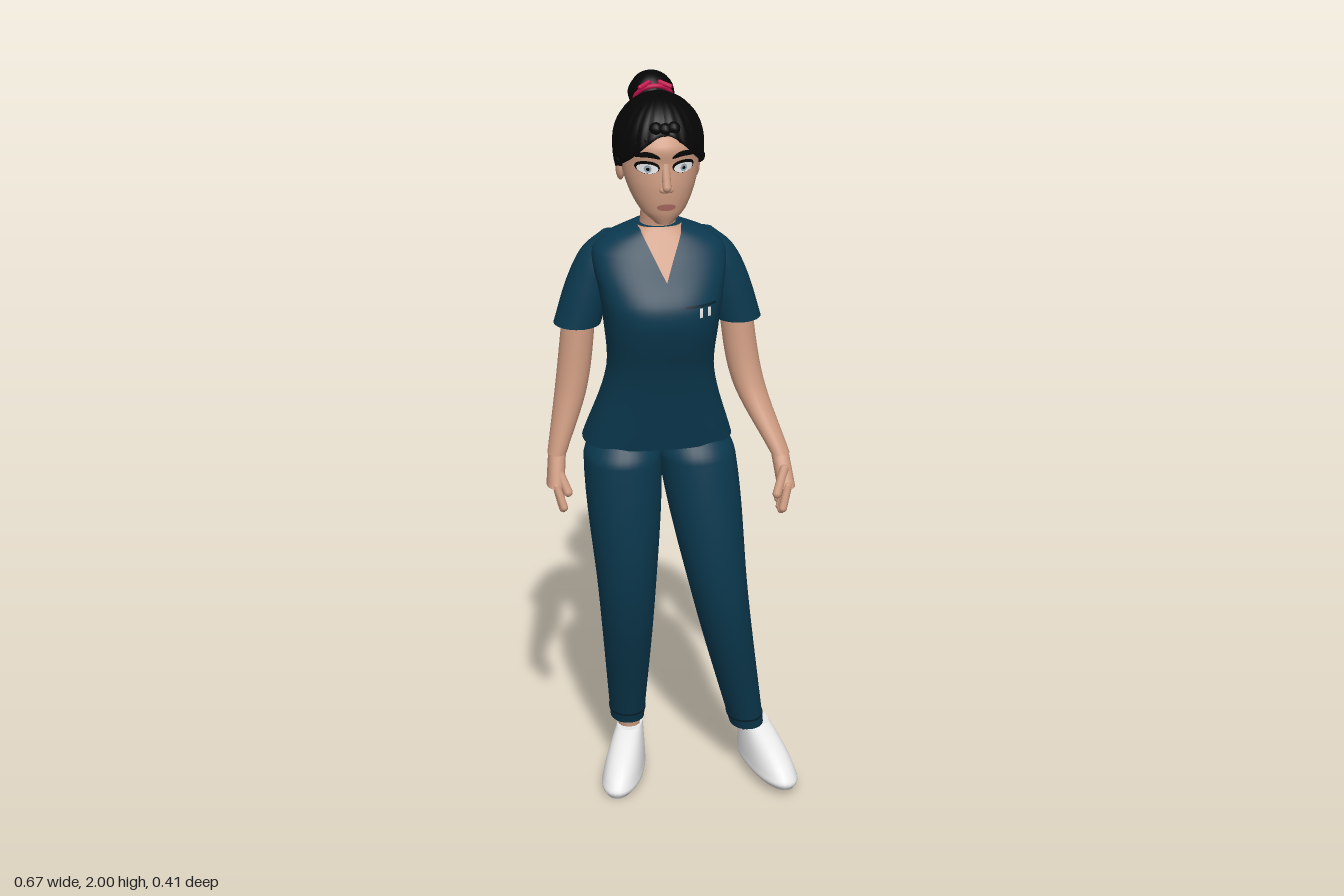
import * as THREE from 'three';

const mat = (name, color, side = THREE.FrontSide) => {
  const m = new THREE.MeshStandardMaterial({ color, side });
  m.name = name;
  return m;
};
const M = {
  scrubs: mat('teal scrubs', 0x0b394f),
  trim: mat('dark teal trim', 0x07222f),
  skin: mat('skin', 0xcc9a80),
  hair: mat('black hair', 0x060505, THREE.DoubleSide),
  band: mat('pink hair band', 0xc4124e),
  white: mat('white', 0xe6e6e6),
  lips: mat('lips', 0xa8695e),
  iris: mat('iris', 0x93a6b2),
};
const CX = -0.033; // midline of the head and chest
const { sin, cos, abs, sqrt, pow, sign, min, max, PI } = Math;

// Smooth interpolation of sections [y, x, z, rx, rz] at height y
function at(secs, y) {
  const last = secs.length - 1;
  let i = 0;
  while (i < last - 1 && y > secs[i + 1][0]) i++;
  const slope = (j, k) => {
    const a = secs[max(j - 1, 0)], b = secs[min(j + 1, last)];
    return (b[k] - a[k]) / (b[0] - a[0]);
  };
  const a = secs[i], b = secs[i + 1], h = b[0] - a[0];
  const t = min(1, max(0, (y - a[0]) / h)), e = t * t * (3 - 2 * t), r = t * (1 - t) * h;
  return a.map((v, k) => k === 0 ? y : v + (b[k] - v) * e + r * ((1 - t) * slope(i, k) - t * slope(i + 1, k)));
}

function surface(pos, idx) {
  const g = new THREE.BufferGeometry();
  g.setAttribute('position', new THREE.Float32BufferAttribute(pos, 3));
  g.setIndex(idx);
  g.computeVertexNormals();
  return g;
}

// Closed body through superelliptic rings stacked upwards
function loft(secs, n = 2, sides = 32, steps = 8) {
  const pos = [], idx = [], ys = [secs[0][0]];
  for (let i = 1; i < secs.length; i++)
    for (let k = 1; k <= steps; k++) ys.push(secs[i - 1][0] + (secs[i][0] - secs[i - 1][0]) * k / steps);
  const ring = (y) => {
    const [, x, z, rx, rz] = at(secs, y);
    for (let j = 0; j < sides; j++) {
      const s = sin(j / sides * 2 * PI), c = cos(j / sides * 2 * PI);
      pos.push(x + rx * sign(s) * pow(abs(s), 2 / n), y, z + rz * sign(c) * pow(abs(c), 2 / n));
    }
    return [x, y, z];
  };
  ys.forEach(ring);
  for (let i = 0; i < ys.length - 1; i++) for (let j = 0; j < sides; j++) {
    const a = i * sides + j, b = i * sides + (j + 1) % sides;
    idx.push(a, b, b + sides, a, b + sides, a + sides);
  }
  for (const top of [false, true]) {
    const start = pos.length / 3, mid = start + sides;
    pos.push(...ring(top ? ys[ys.length - 1] : ys[0]));
    for (let j = 0; j < sides; j++) {
      const a = start + j, b = start + (j + 1) % sides;
      idx.push(mid, top ? a : b, top ? b : a);
    }
  }
  return surface(pos, idx);
}

// Thin sheet on the front of a lofted body, half-width w, between lo(u) and hi(u), u in -1..1
function patch(secs, n, x, w, lo, hi, layer) {
  const N = 16, pos = [], idx = [];
  for (let i = 0; i <= N; i++) for (let j = 0; j <= N; j++) {
    const u = j / N * 2 - 1, px = x + w * u, y = lo(u) + (hi(u) - lo(u)) * i / N;
    const [, cx, cz, rx, rz] = at(secs, y);
    pos.push(px, y, cz + rz * pow(1 - pow(min(1, abs((px - cx) / rx)), n), 1 / n) + layer * 0.002);
    if (i < N && j < N) {
      const a = i * (N + 1) + j, b = a + N + 1;
      idx.push(a, a + 1, b + 1, a, b + 1, b);
    }
  }
  return surface(pos, idx);
}

// Sections on the midline: [y, z, half width, half depth]
const onMidline = (rows) => rows.map(([y, ...rest]) => [y, CX, ...rest]);
const TORSO_N = 2.5;
const TORSO = onMidline([
  [1.045, -0.035, 0.196, 0.122], [1.25, 0.023, 0.139, 0.105], [1.4, 0.038, 0.147, 0.137], [1.47, 0.034, 0.157, 0.135],
  [1.57, 0, 0.17, 0.094], [1.608, -0.008, 0.132, 0.075], [1.638, -0.01, 0.06, 0.055],
]);
const HEAD = onMidline([
  [1.667, 0.088, 0.022, 0.026], [1.7, 0.064, 0.058, 0.061], [1.76, 0.037, 0.087, 0.093],
  [1.82, 0.019, 0.099, 0.105], [1.87, 0.008, 0.098, 0.114], [1.95, 0, 0.045, 0.05],
]);
// Limb through joints [x, y, z], its radii given by rules over the height
const limb = (joints, rx, rz) => joints.map(([x, y, z]) => [y, x, z, rx(y), rz(y)]);

// The two sides differ because of the relaxed stance; joints run upwards
const SIDES = [
  {
    name: 'left', s: 1, sleeveZ: -0.03, shoe: [0.268, 0.02, -0.003], turn: 0.29,
    leg: [[0.217, 0.158, -0.04], [0.125, 0.6, 0.038], [0.068, 1, -0.008], [0.058, 1.08, -0.03]],
    arm: [[0.268, 1.03, 0.11], [0.2, 1.2, 0.008], [0.168, 1.42, -0.03]],
    knuckle: [0.277, 0.955, 0.15],
  },
  {
    name: 'right', s: -1, sleeveZ: -0.043, shoe: [-0.12, 0, -0.065], turn: -0.34,
    leg: [[-0.103, 0.158, -0.13], [-0.12, 0.6, 0], [-0.128, 1, -0.008], [-0.122, 1.08, -0.03]],
    arm: [[-0.304, 1.03, 0.02], [-0.258, 1.2, -0.025], [-0.23, 1.42, -0.045]],
    knuckle: [-0.312, 0.95, 0.042],
  },
];

// Slip-on shoe: the instep falls towards the toe and the toe is wider
function shoeShape() {
  const secs = Array.from({ length: 9 }, (_, i) => {
    const t = i / 8, sole = i ? 0 : 0.012;
    const toe = 0.147 - 0.17 * pow(t, 1.8), heel = -0.147 + 0.014 * t * t;
    return [0.127 * t, 0, (toe + heel) / 2, 0.053 - 0.016 * t * t - sole, (toe - heel) / 2 - sole];
  });
  const g = loft(secs, 2.2, 32, 3), p = g.attributes.position;
  for (let i = 0; i < p.count; i++) p.setX(i, p.getX(i) * (1 + 1.1 * p.getZ(i)));
  g.computeVertexNormals();
  return g;
}

// Swept-up hair: a ridged shell below which the hairline falls from forehead to nape
const hairline = (a) => 1.79 + 0.052 * cos(a) + 0.055 * pow(max(0, cos(a)), 5);
function hairShell() {
  const cols = 96, rows = 20, pos = [], idx = [];
  for (let i = 0; i <= rows; i++) for (let j = 0; j <= cols; j++) {
    const a = j / cols * 2 * PI;
    const t = min(1, i / (rows - 1)), y = 1.975 - (1.975 - hairline(a)) * t * t;
    const d = (y - 1.85) / (y > 1.85 ? 0.125 : 0.17);
    const r = sqrt(max(0, 1 - d * d)) * (i === rows ? 0.82 : 1 + 0.014 * sin(a * 24 + t * 3));
    pos.push(CX + 0.114 * r * sin(a), y, 0.13 * r * cos(a));
    if (i < rows && j < cols) {
      const p = i * (cols + 1) + j, q = p + cols + 1;
      idx.push(p, q, q + 1, p, q + 1, p + 1);
    }
  }
  return surface(pos, idx);
}

export function createModel() {
  const model = new THREE.Group();
  const add = (name, geo, m, p = [0, 0, 0]) => {
    const mesh = new THREE.Mesh(geo, m);
    mesh.name = name;
    mesh.position.set(...p);
    model.add(mesh);
    return mesh;
  };
  const capsule = (name, a, b, r, m) => {
    const A = new THREE.Vector3(...a), d = new THREE.Vector3(...b).sub(A);
    const mesh = add(name, new THREE.CapsuleGeometry(r, d.length(), 5, 10), m);
    mesh.position.copy(A).addScaledVector(d, 0.5);
    mesh.quaternion.setFromUnitVectors(new THREE.Vector3(0, 1, 0), d.normalize());
  };

  // Top with neckline and chest pocket
  add('scrubTop', loft(TORSO, TORSO_N, 48), M.scrubs);
  add('necklineSkin', patch(TORSO, TORSO_N, CX, 0.056, (u) => 1.52 + 0.118 * abs(u), () => 1.64, 2), M.skin);
  const plate = (name, x, w, y, h, layer, m) => add(name, patch(TORSO, TORSO_N, x, w, () => y - h, () => y + h, layer), m);
  plate('pocket', 0.05, 0.041, 1.42, 0.045, 2, M.scrubs);
  plate('pocketEdge', 0.05, 0.041, 1.466, 0.003, 3, M.trim);
  for (const x of [0.049, 0.071]) plate('pocketPen', x, 0.004, 1.449, 0.012, 4, M.white);

  for (const { name, s, sleeveZ, shoe, turn, leg, arm, knuckle } of SIDES) {
    // Sleeve, arm and hand
    const sleeve = [[0.208, 1.365], [0.173, 1.48], [0.138, 1.56], [0.12, 1.606]].map(([x, y]) => [x * s - 0.03, y, sleeveZ]);
    const sleeveR = (y) => y > 1.6 ? 0.022 : y > 1.5 ? 0.056 : 0.061;
    add(name + 'Sleeve', loft(limb(sleeve, sleeveR, (y) => sleeveR(y) + 0.003)), M.scrubs);
    const armR = (y) => min(0.043, 0.025 + 0.1 * (y - 1.03));
    add(name + 'Arm', loft(limb(arm, armR, (y) => armR(y) + 0.003), 2, 24), M.skin);
    const palm = limb([knuckle, arm[0]], () => 0.023, (y) => y > 1 ? 0.028 : 0.037);
    add(name + 'Palm', loft(palm, 2.3, 20), M.skin);
    const [kx, ky, kz] = knuckle;
    for (const o of [-1.5, -0.5, 0.5, 1.5])
      capsule(name + 'Finger', [kx, ky + 0.005, kz + o * 0.018], [kx - s * 0.016, ky - 0.062 + 0.006 * o * o, kz + 0.013 + o * 0.021], 0.0105, M.skin);
    capsule(name + 'Thumb', [kx - s * 0.006, ky + 0.045, kz + 0.005], [kx - s * 0.029, ky - 0.012, kz + 0.032], 0.012, M.skin);

    // Trouser leg tucked under the top, ankle and shoe
    const tuck = (y) => y > 1.05 ? 0.034 : 0;
    const legSecs = limb(leg, (y) => 0.036 + 0.066 * y - tuck(y), (y) => 0.048 + 0.063 * y - tuck(y));
    add(name + 'TrouserLeg', loft(legSecs, 2.1), M.scrubs);
    const seam = [0.186, 0.192].map((y) => at(legSecs, y).map((v, k) => k > 2 ? v + 0.002 : v));
    add(name + 'CuffSeam', loft(seam, 2.1, 32, 1), M.trim);
    const [ax, ay, az] = leg[0];
    capsule(name + 'Ankle', [ax, ay + 0.03, az], [shoe[0] - 0.076 * sin(turn), 0.1, shoe[2] - 0.076 * cos(turn)], 0.031, M.skin);
    add(name + 'Shoe', shoeShape(), M.white, shoe).rotation.y = turn;
  }

  // Neck, head and face
  add('neck', loft(onMidline([[1.57, -0.012, 0.056, 0.05], [1.65, -0.009, 0.045, 0.046], [1.75, 0.01, 0.045, 0.05]])), M.skin);
  add('head', loft(HEAD, 2, 48), M.skin);
  capsule('noseBridge', [CX, 1.82, 0.116], [CX, 1.77, 0.138], 0.011, M.skin);
  capsule('nostrils', [CX - 0.009, 1.763, 0.13], [CX + 0.009, 1.763, 0.13], 0.009, M.skin);
  const oval = (name, x, y, w, h, layer, m, arch = 0) => {
    const edge = (k) => (u) => y - arch * u * u + k * h * sqrt(1 - u * u);
    add(name, patch(HEAD, 2, x, w, edge(-1), edge(1), layer), m);
  };
  oval('lips', CX, 1.717, 0.024, 0.009, 2, M.lips);
  for (const s of [-1, 1]) {
    const ex = CX + s * 0.045;
    oval('eyeLashes', ex, 1.818, 0.03, 0.016, 1, M.hair);
    oval('eyeWhite', ex, 1.815, 0.026, 0.012, 2, M.white);
    oval('iris', ex, 1.815, 0.009, 0.009, 3, M.iris);
    oval('pupil', ex, 1.815, 0.004, 0.004, 4, M.hair);
    oval('eyebrow', ex, 1.851, 0.031, 0.007, 2, M.hair, 0.009);
    add('ear', new THREE.SphereGeometry(0.03, 16, 12), M.skin, [CX + s * 0.095, 1.785, -0.008]).scale.set(0.4, 1.1, 0.7);
  }

  // Hair, curls along the hairline, bun and band
  add('hair', hairShell(), M.hair);
  for (let i = -6; i <= 6; i++) {
    const a = i * 0.22;
    add('curl', new THREE.SphereGeometry(0.017, 12, 8), M.hair, [CX + 0.101 * sin(a), hairline(a) + 0.012 + 0.01 * abs(i % 2), 0.106 * cos(a)]);
  }
  const bun = new THREE.SphereGeometry(0.057, 40, 24), bp = bun.attributes.position;
  for (let i = 0; i < bp.count; i++) {
    const x = bp.getX(i), y = bp.getY(i), z = bp.getZ(i);
    const k = 1 + 0.035 * sin(8 * Math.atan2(z, x) + y * 60) * (1 - pow(y / 0.057, 2));
    bp.setXYZ(i, x * k, y, z * k);
  }
  bun.computeVertexNormals();
  add('bun', bun, M.hair, [CX, 1.943, -0.113]);
  add('hairBand', new THREE.TorusGeometry(0.047, 0.006, 10, 40), M.band, [CX, 1.938, -0.079]).rotation.x = 0.61;
  for (const s of [-1, 1])
    capsule('bandTie', [CX + s * 0.014, 1.984, -0.06], [CX + s * 0.038, 1.976, -0.045], 0.006, M.band);
  return model;
}
